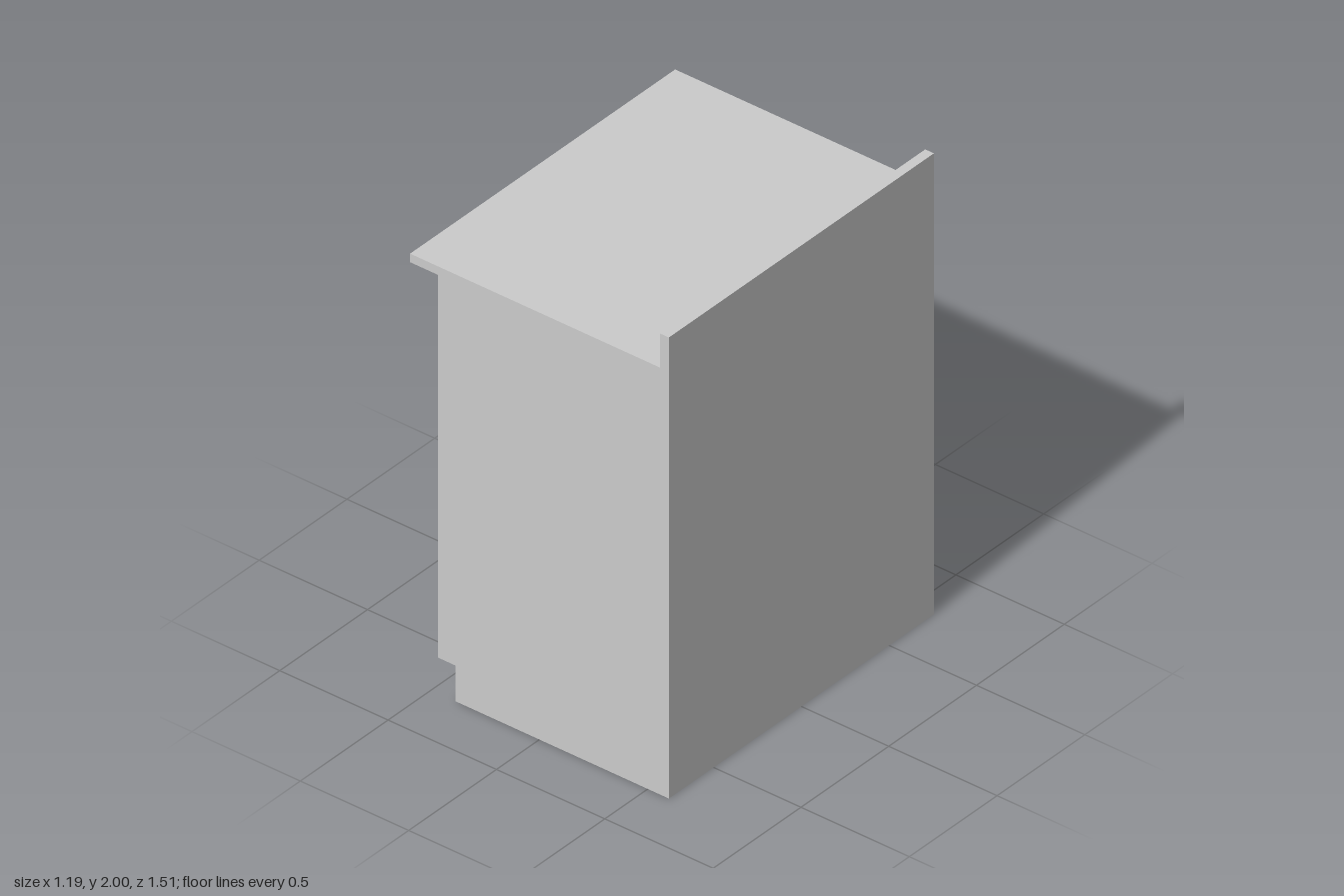
import * as THREE from 'three';

const material = new THREE.MeshStandardMaterial({ color: 0xcccccc });

const DEPTH_Z = 1.51;          // full width along z
const PANEL_X = -0.447;        // recessed door surface
const FRAME_X = -0.467;        // outer face of the frame
const BASE_Y = 0.155, TOP_Y = 1.815;

function addMesh(parent, name, geometry, x = 0, y = 0, z = 0) {
  const mesh = new THREE.Mesh(geometry, material);
  mesh.name = name;
  mesh.position.set(x, y, z);
  parent.add(mesh);
  return mesh;
}

function rectPath(Type, w, y0, y1) {
  const p = new Type();
  p.moveTo(-w / 2, y0);
  p.lineTo(w / 2, y0);
  p.lineTo(w / 2, y1);
  p.lineTo(-w / 2, y1);
  p.closePath();
  return p;
}

// Round bar pull on two standoffs
function createHandle() {
  const handle = new THREE.Group();
  const r = 0.017, barX = -0.4865;
  addMesh(handle, 'handleBar', new THREE.CylinderGeometry(r, r, 0.375, 24), barX, 1.4525, 0);
  const length = PANEL_X - barX;
  for (const y of [1.358, 1.547]) {
    const post = addMesh(handle, 'handlePost',
      new THREE.CylinderGeometry(0.012, 0.012, length, 16), barX + length / 2, y, 0);
    post.rotation.z = Math.PI / 2;
  }
  return handle;
}

export function createModel() {
  const group = new THREE.Group();
  group.name = 'baseCabinet';

  // Side profile: toe kick, carcass, overhanging worktop and backsplash
  const profile = new THREE.Shape([
    [-0.387, 0], [0.597, 0], [0.597, 2], [0.557, 2], [0.557, 1.852],
    [-0.597, 1.852], [-0.597, TOP_Y], [PANEL_X, TOP_Y],
    [PANEL_X, BASE_Y], [-0.387, BASE_Y],
  ].map(([x, y]) => new THREE.Vector2(x, y)));
  addMesh(group, 'cabinetBodyAndWorktop',
    new THREE.ExtrudeGeometry(profile, { depth: DEPTH_Z, bevelEnabled: false }), 0, 0, -DEPTH_Z / 2);

  // Raised frame around the recessed door panel
  const border = 0.075;
  const frameShape = rectPath(THREE.Shape, DEPTH_Z, BASE_Y, TOP_Y);
  frameShape.holes.push(rectPath(THREE.Path, DEPTH_Z - 2 * border, BASE_Y + border, TOP_Y - border));
  const frame = addMesh(group, 'doorFrame',
    new THREE.ExtrudeGeometry(frameShape, { depth: PANEL_X - FRAME_X, bevelEnabled: false }), PANEL_X, 0, 0);
  frame.rotation.y = -Math.PI / 2;

  // Pair of handles
  for (const side of [-1, 1]) {
    const handle = createHandle();
    handle.name = side > 0 ? 'handleA' : 'handleB';
    handle.position.z = side * 0.117;
    group.add(handle);
  }
  return group;
}
